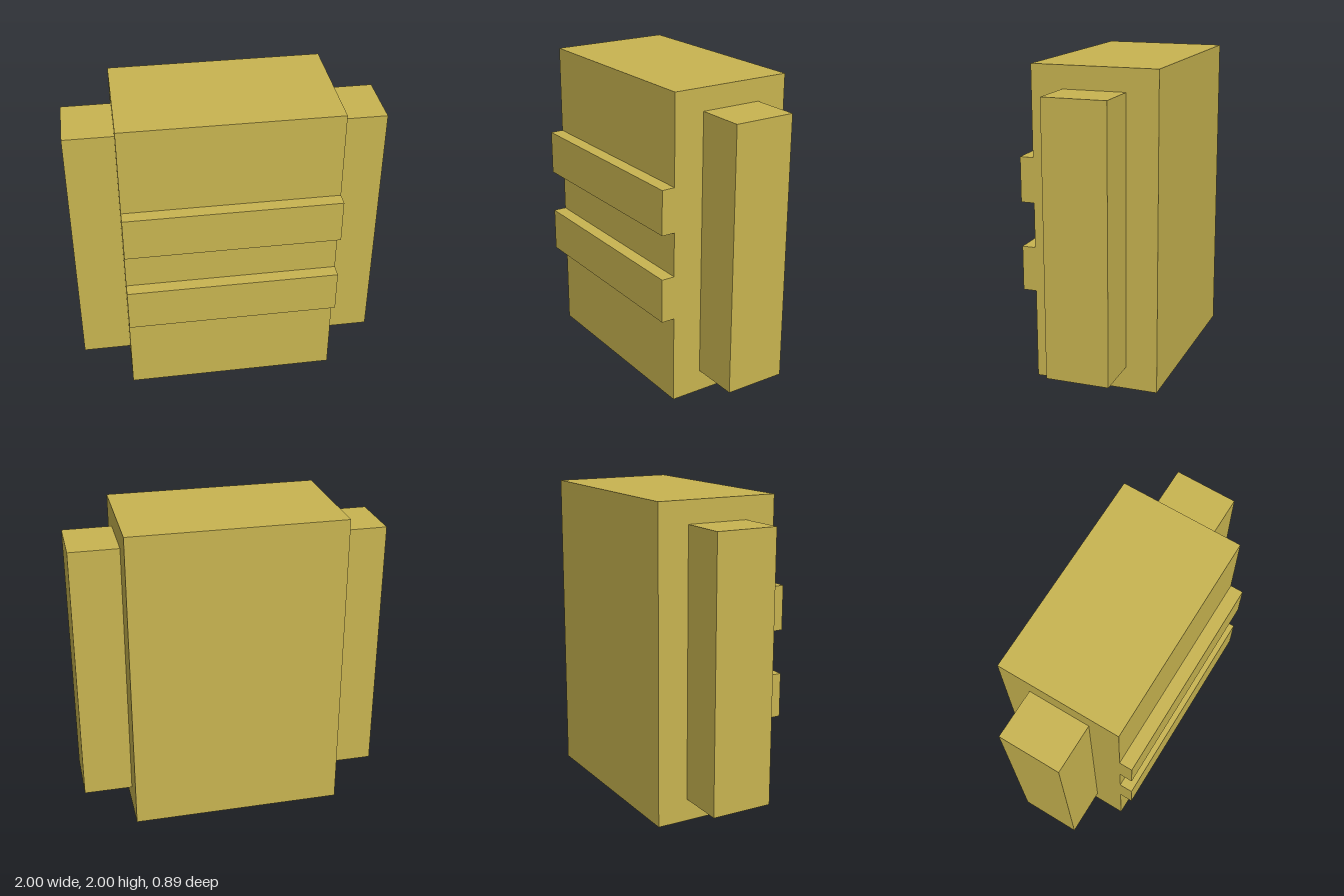
import * as THREE from 'three';

export function createModel() {
  const model = new THREE.Group();
  const ochre = new THREE.MeshStandardMaterial({ color: 0xc8b450 });
  ochre.name = 'ochre';

  // Box from its minimum and maximum corners
  function block(name, [x0, y0, z0], [x1, y1, z1]) {
    const mesh = new THREE.Mesh(new THREE.BoxGeometry(x1 - x0, y1 - y0, z1 - z0), ochre);
    mesh.position.set((x0 + x1) / 2, (y0 + y1) / 2, (z0 + z1) / 2);
    mesh.name = name;
    model.add(mesh);
    return mesh;
  }

  // Main slab
  const halfWidth = 0.685, back = -0.443, front = 0.357;
  block('body', [-halfWidth, 0, back], [halfWidth, 2, front]);

  // Two horizontal ribs across the front
  block('lowerRib', [-halfWidth, 0.572, front], [halfWidth, 0.857, 0.443]);
  block('upperRib', [-halfWidth, 1.143, front], [halfWidth, 1.429, 0.443]);

  // Upright side blocks, mirrored
  const left = block('leftSideBlock', [halfWidth, 0.143, -0.243], [1, 1.857, 0.157]);
  const right = left.clone();
  right.name = 'rightSideBlock';
  right.position.x *= -1;
  model.add(right);

  return model;
}
